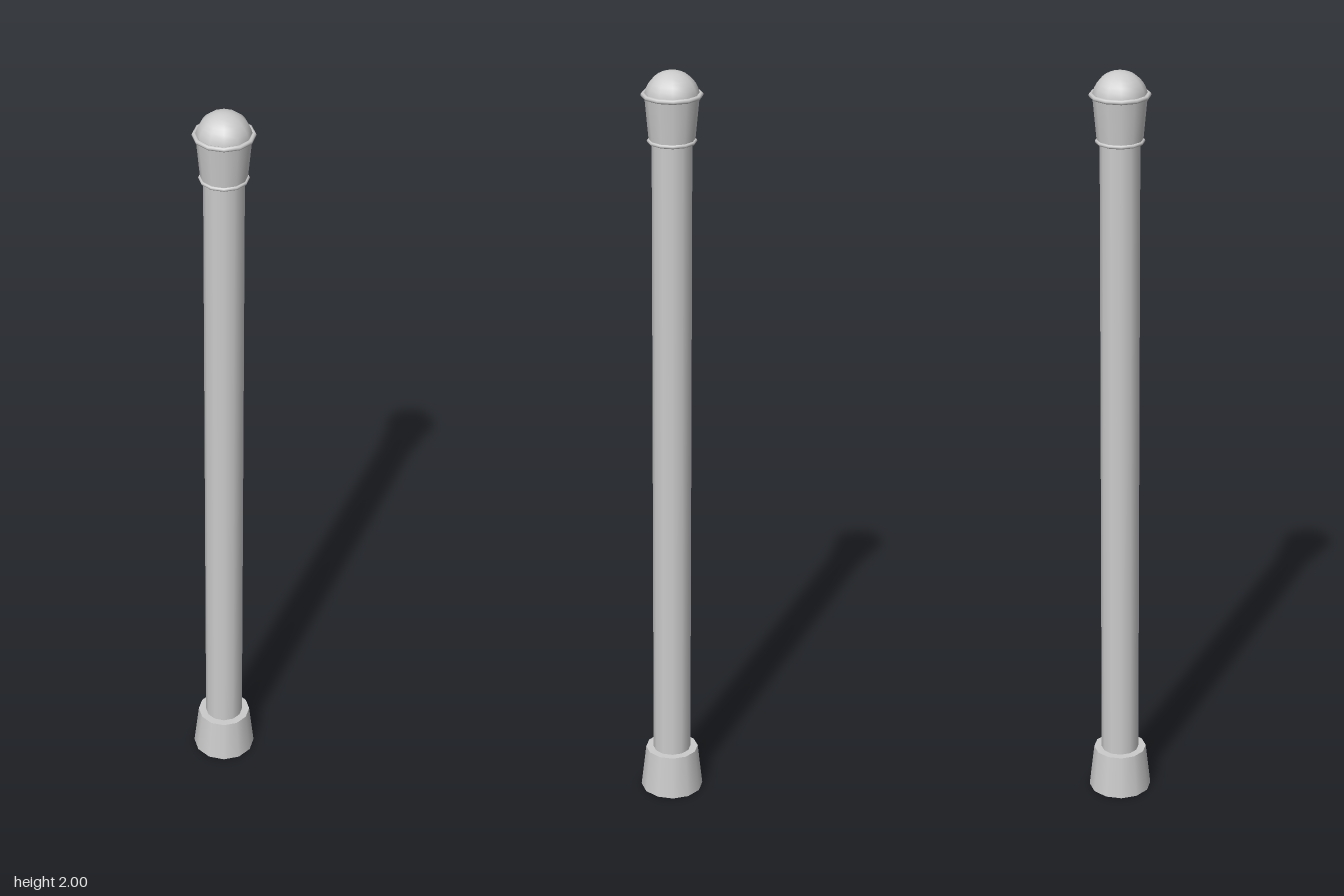
import * as THREE from 'three';

const SIDES = 12;

export function createModel() {
  const group = new THREE.Group();
  const material = new THREE.MeshStandardMaterial({ color: 0xcccccc });

  const add = (name, geometry, y) => {
    const mesh = new THREE.Mesh(geometry, material);
    mesh.name = name;
    mesh.position.y = y;
    group.add(mesh);
  };
  // Tapered round section standing between two heights
  const section = (name, bottomRadius, topRadius, y0, y1) =>
    add(name, new THREE.CylinderGeometry(topRadius, bottomRadius, y1 - y0, SIDES), (y0 + y1) / 2);
  // Thin horizontal moulding
  const ring = (name, radius, tube, y) =>
    add(name, new THREE.TorusGeometry(radius, tube, 8, SIDES).rotateX(Math.PI / 2), y);

  section('base', 0.083, 0.07, 0, 0.117);
  section('pole', 0.05, 0.05, 0.1, 1.84);
  section('head', 0.057, 0.068, 1.822, 1.94);
  ring('lowerRing', 0.057, 0.005, 1.824);
  ring('upperRing', 0.071, 0.006, 1.94);

  // Domed cap
  const dome = new THREE.SphereGeometry(0.068, SIDES, 8, 0, Math.PI * 2, 0, Math.PI / 2);
  dome.scale(1, 0.97, 1);
  add('domeCap', dome, 1.934);

  return group;
}
